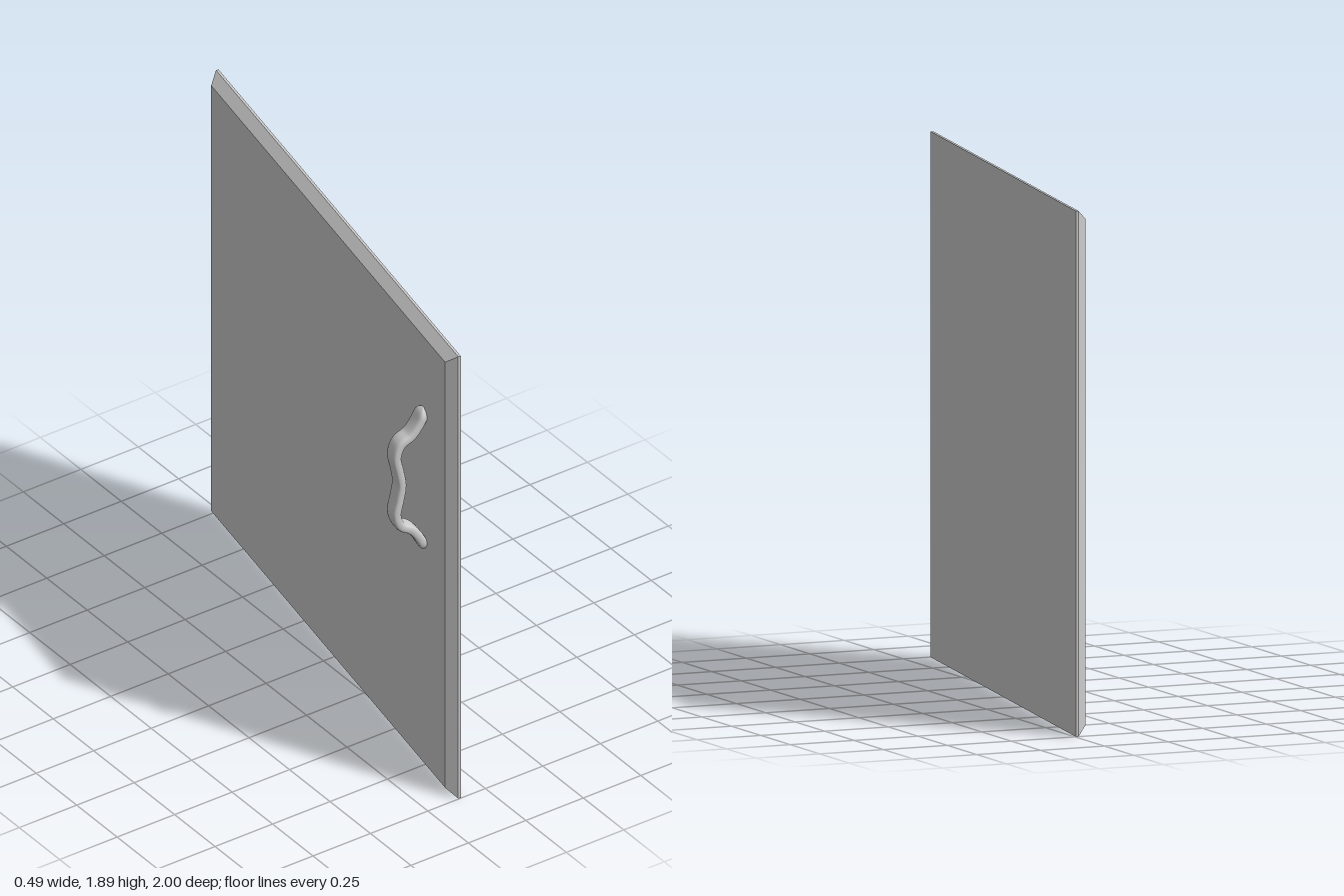
import * as THREE from 'three';

const material = new THREE.MeshStandardMaterial({ color: 0xcccccc });

// Skin a list of closed rings (counter-clockwise about the sweep) and cap both ends.
function loft(rings, smooth) {
  const n = rings[0].length, last = rings.length - 1;
  const points = rings.flat();
  const index = [];
  for (let i = 0; i < last; i++) {
    for (let j = 0; j < n; j++) {
      const k = (j + 1) % n;
      const a = i * n + j, b = i * n + k, c = b + n, d = a + n;
      index.push(a, b, c, a, c, d);
    }
  }
  for (let j = 1; j < n - 1; j++) {
    index.push(0, j + 1, j);
    index.push(last * n, last * n + j, last * n + j + 1);
  }
  let geometry = new THREE.BufferGeometry().setFromPoints(points);
  geometry.setIndex(index);
  if (!smooth) geometry = geometry.toNonIndexed();
  geometry.computeVertexNormals();
  return geometry;
}

// Flat panel: chamfered around the handle side, with a thin straight rim.
function panelGeometry() {
  const length = 2.028, height = 1.89;
  const ring = (x, inset) => {
    const y0 = inset, y1 = height - inset, z = length / 2 - inset;
    return [[y0, -z], [y1, -z], [y1, z], [y0, z]].map(([y, w]) => new THREE.Vector3(x, y, w));
  };
  return loft([ring(-0.045, 0.035), ring(-0.01, 0), ring(0, 0)], false);
}

// Wavy pull: a rounded strap swept along a mirrored path, narrowing at its feet.
function handleGeometry() {
  // [distance out from the panel, height above the handle's middle]
  const half = [[0, 0.3], [0.012, 0.265], [0.033, 0.228], [0.058, 0.198],
    [0.095, 0.175], [0.114, 0.125], [0.103, 0.06]];
  const path = [
    ...half.map(([h, y]) => [h, -y]),
    [0.094, 0],
    ...half.slice().reverse(),
  ].map(([h, y]) => new THREE.Vector3(-h, y, 0));
  const curve = new THREE.CatmullRomCurve3(path, false, 'centripetal');

  const steps = 72, sides = 20, rings = [];
  const round = (v) => Math.sign(v) * Math.pow(Math.abs(v), 0.6);
  for (let i = 0; i <= steps; i++) {
    const u = i / steps;
    const c = curve.getPointAt(u), t = curve.getTangentAt(u);
    const normal = new THREE.Vector3(-t.y, t.x, 0);
    const end = Math.min(1, Math.min(u, 1 - u) / 0.055);
    const taper = Math.max(0.15, Math.sqrt(1 - (1 - end) ** 2));
    const ring = [];
    for (let j = 0; j < sides; j++) {
      const a = (j / sides) * Math.PI * 2;
      const p = c.clone().addScaledVector(normal, round(Math.cos(a)) * 0.018 * taper);
      p.z += round(Math.sin(a)) * 0.035 * taper;
      ring.push(p);
    }
    rings.push(ring);
  }
  return loft(rings, true);
}

export function createModel() {
  const model = new THREE.Group();
  model.name = 'cabinetDoor';

  // The door stands slightly ajar.
  const door = new THREE.Group();
  door.name = 'door';
  door.position.x = 0.07;
  door.rotation.y = THREE.MathUtils.degToRad(-10);
  model.add(door);

  const panel = new THREE.Mesh(panelGeometry(), material);
  panel.name = 'panel';
  door.add(panel);

  const handle = new THREE.Mesh(handleGeometry(), material);
  handle.name = 'handle';
  handle.position.set(-0.045, 1.255, 0.795);
  door.add(handle);

  return model;
}
